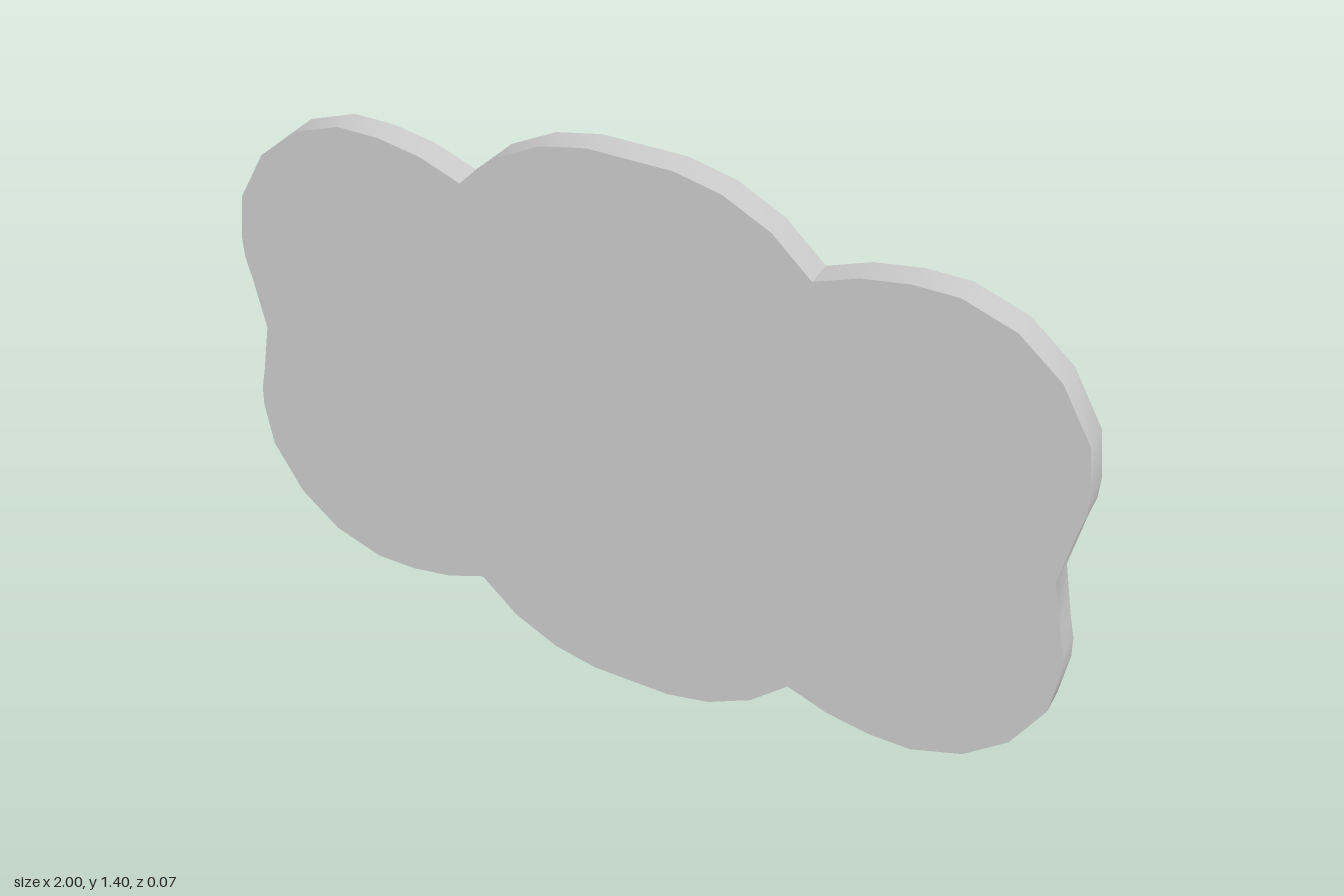
import * as THREE from 'three';
import { toCreasedNormals } from 'three/addons/utils/BufferGeometryUtils.js';

const MID = 0.7;      // height of the horizontal symmetry line
const DEPTH = 0.066;  // thickness of the plaque

// One quarter of the scalloped outline, from top centre round to the side notch,
// measured from the plaque's centre.
const quarter = [
  [0.096, 0.7], [0.203, 0.677], [0.31, 0.622], [0.4, 0.538],
  [0.497, 0.575], [0.6, 0.593], [0.7, 0.593], [0.818, 0.551],
  [0.914, 0.469], [0.984, 0.346], [1, 0.235], [0.998, 0.185], [0.984, 0.125], [0.96, 0]
];

export function createModel() {
  const group = new THREE.Group();
  group.name = 'scallopedPlaque';

  // Mirror the quarter into a closed outline (the side notch is shared).
  const mirror = (pts, sx, sy) => pts.map(([x, y]) => new THREE.Vector2(x * sx, y * sy));
  const open = quarter.slice(0, -1);
  const outline = [
    ...mirror(quarter, 1, 1),
    ...mirror(open, 1, -1).reverse(),
    ...mirror(quarter, -1, -1),
    ...mirror(open, -1, 1).reverse()
  ];

  // Flat slab with softly shaded rim and sharp face edges.
  const slab = new THREE.ExtrudeGeometry(new THREE.Shape(outline), { depth: DEPTH, bevelEnabled: false });
  slab.translate(0, MID, -DEPTH / 2);
  const plaque = new THREE.Mesh(
    toCreasedNormals(slab, 0.6),
    new THREE.MeshStandardMaterial({ color: 0xcccccc })
  );
  plaque.name = 'plaque';
  group.add(plaque);
  return group;
}
